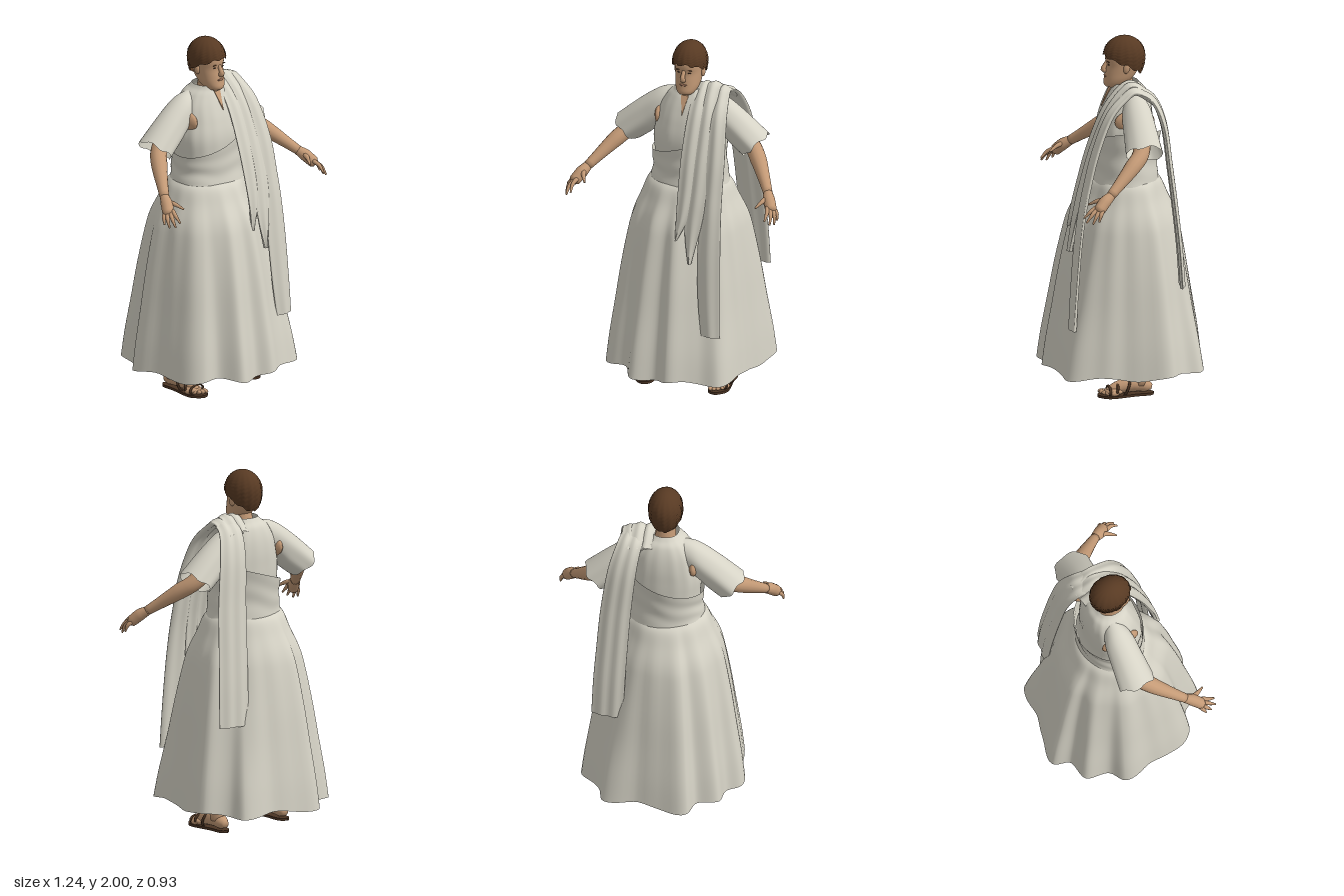
import * as THREE from 'three';
import { mergeVertices } from 'three/addons/utils/BufferGeometryUtils.js';

const mat = (name, color, side = THREE.FrontSide) => {
  const m = new THREE.MeshStandardMaterial({ color, side });
  m.name = name;
  return m;
};

// Surface from a rule f(u, v) -> [x, y, z]; u runs around, v runs along
function surface(nu, nv, f) {
  const pos = [], idx = [], w = nu + 1;
  for (let j = 0; j <= nv; j++) for (let i = 0; i <= nu; i++) pos.push(...f((i % nu) / nu, j / nv));
  for (let j = 0; j < nv; j++) for (let i = 0; i < nu; i++) {
    const a = j * w + i, b = a + 1, c = b + w, d = a + w;
    idx.push(a, b, c, a, c, d);
  }
  let g = new THREE.BufferGeometry();
  g.setAttribute('position', new THREE.Float32BufferAttribute(pos, 3));
  g.setIndex(idx);
  g = mergeVertices(g, 1e-5);
  g.computeVertexNormals();
  return g;
}

// Smooth interpolation through rows of numbers, t in 0..1
function sample(rows, t) {
  const n = rows.length - 1, k = Math.min(Math.floor(t * n), n - 1), f = t * n - k;
  const at = i => rows[Math.max(0, Math.min(n, i))];
  return rows[0].map((_, c) => {
    const [p, q, r, s] = [at(k - 1)[c], at(k)[c], at(k + 1)[c], at(k + 2)[c]];
    return q + 0.5 * f * (r - p + f * (2 * p - 5 * q + 4 * r - s + f * (3 * (q - r) + s - p)));
  });
}

// Round limb through [x, y, z, radius] points
function limb(pts, sides = 14, steps = 24) {
  const curve = new THREE.CatmullRomCurve3(pts.map(p => new THREE.Vector3(...p.slice(0, 3))));
  const fr = curve.computeFrenetFrames(steps, false), n = pts.length - 1;
  return surface(sides, steps + 2, (u, v) => {
    const j = Math.round(v * (steps + 2)) - 1, s = Math.max(0, Math.min(steps, j));
    const t = curve.getUtoTmapping(s / steps) * n, k = Math.min(Math.floor(t), n - 1);
    const r = j < 0 || j > steps ? 0 : THREE.MathUtils.lerp(pts[k][3], pts[k + 1][3], t - k);
    const a = u * Math.PI * 2;
    return curve.getPointAt(s / steps)
      .addScaledVector(fr.normals[s], r * Math.cos(a))
      .addScaledVector(fr.binormals[s], r * Math.sin(a)).toArray();
  });
}

// Upright body from rings [y, halfWidth, zFront, zBack]
function body(rings, nu, nv, power, adjust = p => p) {
  return surface(nu, nv, (u, v) => {
    const a = u * Math.PI * 2, [y, rx, zf, zb] = sample(rings, v);
    const pw = q => Math.sign(q) * Math.abs(q) ** power;
    return adjust([rx * pw(Math.sin(a)), y, (zf + zb) / 2 + (zf - zb) / 2 * pw(Math.cos(a))], a, v);
  });
}

// Softly pleated hanging band through [x, y, z, halfWidth] points
function band(pts, thick = 0.013, skew = 0, pleats = 1.5) {
  return surface(40, 60, (u, v) => {
    const p = sample(pts, v), lo = sample(pts, Math.max(0, v - 0.01)), hi = sample(pts, Math.min(1, v + 0.01));
    const ty = hi[1] - lo[1], tz = hi[2] - lo[2], l = Math.hypot(ty, tz) || 1, a = u * Math.PI * 2;
    const s = Math.sin(a), off = thick * Math.cos(a) + 0.004 * Math.cos(s * Math.PI * pleats);
    return [p[0] + p[3] * s, p[1] - off * tz / l, p[2] + off * ty / l + skew * p[3] * s];
  });
}

export function createModel() {
  const root = new THREE.Group();
  root.name = 'robedFigure';
  const cloth = mat('cloth', 0xd6d3c6, THREE.DoubleSide);
  const skin = mat('skin', 0xc49a76);
  const hair = mat('hair', 0x583a23, THREE.DoubleSide);
  const leather = mat('leather', 0x4b3423);
  const dark = mat('eyeDark', 0x4a3628);
  const lip = mat('lip', 0xab7c62);
  const add = (name, geo, m) => {
    const mesh = new THREE.Mesh(geo, m);
    mesh.name = name;
    root.add(mesh);
    return mesh;
  };
  const ball = (name, m, p, s) => {
    const b = add(name, new THREE.SphereGeometry(1, 16, 12), m);
    b.position.set(...p);
    b.scale.set(...s);
    return b;
  };

  // Skirt: the waist ellipse spreads into a scalloped hem, pressed in under the sash ends
  const hem = new THREE.CatmullRomCurve3([
    [.04, .455], [.2, .385], [.32, .37], [.38, .2], [.4, .05], [.44, -.19], [.33, -.29], [.3, -.39], [.1, -.41],
    [-.17, -.46], [-.22, -.37], [-.34, -.34], [-.36, -.21], [-.445, -.15], [-.42, .05], [-.41, .2], [-.35, .3],
    [-.25, .32], [-.18, .44], [-.05, .41],
  ].map(([x, z]) => new THREE.Vector3(x, 0, z)), true);
  const spread = [[.145, 1], [.3, .93], [.5, .81], [.7, .69], [.9, .54], [1, .43], [1.1, .24], [1.18, .09], [1.22, -.08]];
  add('skirt', surface(160, 48, (u, v) => {
    const h = hem.getPoint(u), a = Math.atan2(h.x, h.z), [y, w0] = sample(spread, v);
    const press = Math.exp(-(((a - .6) / .3) ** 2)) + Math.exp(-(((a - 2.45) / .3) ** 2));
    const w = w0 - .5 * press * w0 * (1 - w0), crisp = .5 + .5 * w0;
    const hx = THREE.MathUtils.lerp(.42 * Math.sin(a), h.x, crisp);
    const hz = THREE.MathUtils.lerp(.43 * Math.cos(a), h.z, crisp);
    const fold = 1 + 0.013 * Math.sin(a * 17) * Math.min(1, w * 2) * (1 - 0.5 * w);
    const wx = .218 * Math.sin(a), wz = .178 * Math.cos(a) - .015;
    return [(wx + (hx - wx) * w) * fold, y + 0.012 * Math.sin(a * 7) * (1 - v) ** 4,
      (wz + (hz - wz) * w) * fold];
  }), cloth);

  // Wrapped waist cloth with a slanting upper edge, standing off at the back
  add('waistWrap', surface(80, 20, (u, v) => {
    const a = u * Math.PI * 2, c = Math.cos(a), top = 1.43 + .07 * Math.sin(a) - .01 * c;
    const y = 1.16 + (top - 1.16) * v;
    const k = 1 + .12 * (1 - v) ** 3 + .03 * v * v - .02 * Math.sin(v * Math.PI)
      + .015 * Math.sin(v * 14 + 2 * a) * Math.sin(v * Math.PI);
    return [.208 * k * Math.sin(a), y + .012 * Math.sin(a * 5) * (1 - v),
      -.012 + .169 * k * c - (c < 0 ? .03 * v * c * c : 0)];
  }), cloth);

  // Tunic body
  add('tunicBody', body([[1.12, .222, .165, -.195], [1.3, .192, .14, -.165], [1.45, .2, .143, -.165],
    [1.55, .182, .125, -.165], [1.63, .162, .1, -.155], [1.69, .125, .078, -.135], [1.72, .09, .067, -.108],
    [1.74, .074, .062, -.092]], 72, 40, .88, ([x, y, z], a, v) => {
    const front = Math.atan2(Math.sin(a), Math.cos(a));
    const pleat = 1 + .01 * Math.sin(a * 15) * Math.sin(v * Math.PI);
    return [x * pleat, y - .045 * Math.exp(-((front / .4) ** 2)) * v ** 5, z * pleat];
  }), cloth);

  // Bare skin in the neck opening
  const opening = new THREE.Shape([[0, 0], [.022, .11], [-.022, .11]].map(p => new THREE.Vector2(...p)));
  const throat = add('neckOpening', new THREE.ExtrudeGeometry(opening, { depth: .006, bevelEnabled: false }), skin);
  throat.position.set(0, 1.605, .112);
  throat.rotation.x = -.45;

  // Neck, head and face
  add('neck', limb([[0, 1.5, -.03, .09], [0, 1.6, -.02, .08], [0, 1.68, -.012, .06], [0, 1.78, 0, .052]]), skin);
  add('head', body([[1.712, .004, .06, .05], [1.717, .036, .09, .01], [1.735, .054, .102, -.03],
    [1.765, .066, .098, -.06], [1.8, .071, .093, -.085], [1.84, .075, .086, -.1], [1.88, .077, .092, -.11],
    [1.92, .075, .085, -.11], [1.96, .06, .06, -.09], [1.985, .004, -.01, -.02]], 32, 32, .92), skin);
  add('nose', limb([[0, 1.862, .08, .01], [0, 1.835, .095, .012], [0, 1.815, .104, .015], [0, 1.804, .09, .014]], 12, 12), skin);
  ball('mouth', lip, [0, 1.778, .093], [.023, .006, .007]);
  for (const s of [-1, 1]) {
    ball('eye', dark, [s * .03, 1.847, .079], [.01, .004, .005]);
    ball('eyebrow', hair, [s * .032, 1.864, .082], [.018, .003, .005]).rotation.z = -s * .12;
    ball('ear', skin, [s * .078, 1.835, -.012], [.012, .032, .019]).rotation.x = -.2;
  }

  // Short curly hair, low on the nape and high on the brow
  add('hair', surface(64, 24, (u, v) => {
    const a = u * Math.PI * 2, c = Math.cos(a);
    const line = 1.848 + .05 * c + (c < 0 ? .016 * c : 0) + .006 * Math.sin(a * 9);
    const y = line + (2 - line) * Math.sin(v * Math.PI / 2);
    const d = (y - 1.885) / (y > 1.885 ? .115 : .16);
    const k = Math.sqrt(Math.max(0, 1 - d * d));
    const curl = 1 + .03 * Math.sin(a * 16 + (Math.round(v * 24) % 2) * 2) * Math.cos(v * Math.PI / 2);
    return [.095 * k * curl * Math.sin(a), y, -.013 + .117 * k * curl * c];
  }), hair);

  for (const s of [-1, 1]) {
    const side = s > 0 ? 'left' : 'right';
    const m = pts => pts.map(([x, ...r]) => [x * s, ...r]);

    // Flared sleeve: rows of top x, top y, bottom x, bottom y, half depth
    const rows = [[.08, 1.71, .13, 1.5, .06], [.175, 1.69, .185, 1.47, .083], [.29, 1.615, .235, 1.42, .093],
      [.44, 1.49, .31, 1.365, .104]];
    add(side + 'Sleeve', surface(48, 20, (u, v) => {
      const [tx, ty, bx, by, rz] = sample(rows, v), a = u * Math.PI * 2, k = .5 + .5 * Math.cos(a);
      const f = 1 + .04 * Math.sin(a * 6) * v, wave = .006 * Math.sin(a * 5) * v * v;
      return [s * (bx + (tx - bx) * k + wave), by + (ty - by) * k - wave, -.048 + s * rz * f * Math.sin(a)];
    }), cloth);
    ball(side + 'Armpit', skin, [s * .165, 1.555, -.037], [.032, .066, .112]);

    // Arm and hand
    add(side + 'Arm', limb(m([[.16, 1.61, -.045, .06], [.26, 1.52, -.05, .055], [.36, 1.425, -.03, .046],
      [.42, 1.37, .03, .045], [.49, 1.295, .12, .032], [.53, 1.25, .175, .026]])), skin);
    add(side + 'Palm', limb(m([[.525, 1.255, .165, .024], [.55, 1.225, .21, .034], [.578, 1.185, .25, .032],
      [.583, 1.178, .26, .02]]), 12, 12), skin);
    [[.56, 1.2, .262, .57, 1.145, .332], [.575, 1.19, .262, .598, 1.125, .325], [.588, 1.185, .25, .612, 1.118, .292],
      [.592, 1.185, .235, .617, 1.13, .258], [.54, 1.235, .2, .502, 1.2, .295]].forEach((f, i) => {
      const [x, y, z, X, Y, Z] = f, r = i === 4 ? .013 : .011;
      add(side + (i === 4 ? 'Thumb' : 'Finger'), limb(m([[x, y, z, r + .002],
        [(x + X) / 2 + .006, (y + Y) / 2 + .008, (z + Z) / 2, r], [X, Y, Z, .005]]), 8, 8), skin);
    });

    // Leg, foot and toes
    add(side + 'Leg', limb(m([[.13, .8, -.02, .08], [.17, .5, -.03, .06], [.195, .32, -.06, .058],
      [.213, .15, -.055, .042], [.215, .06, -.05, .043]])), skin);
    add(side + 'Foot', limb(m([[.213, .042, -.12, .018], [.213, .05, -.09, .036], [.214, .064, -.03, .045],
      [.216, .058, .03, .041], [.22, .044, .09, .032], [.222, .032, .13, .018]])), skin);
    ball(side + 'ForeFoot', skin, [s * .22, .032, .09], [.048, .024, .055]);
    for (let i = 0; i < 5; i++)
      ball(side + 'Toe', skin, [s * (.186 + i * .019), .026, .15 - i * i * .0035], [.014 - i * .001, .013, .025]);

    // Sandal sole and straps
    const outline = new THREE.Shape(new THREE.SplineCurve([[.215, .135], [.245, .11], [.25, .03], [.27, -.08],
      [.265, -.135], [.22, -.18], [.172, -.16], [.163, -.1], [.175, 0], [.178, .1], [.215, .135]]
      .map(([x, y]) => new THREE.Vector2(x * s, y))).getPoints(50).slice(0, -1));
    const sole = new THREE.ExtrudeGeometry(outline, { depth: .014, bevelEnabled: false });
    add(side + 'Sole', sole.rotateX(-Math.PI / 2), leather);
    const strap = (y, z, sx, sy, tilt) => {
      const t = add(side + 'Strap', new THREE.TorusGeometry(1, .13, 8, 28), leather);
      t.position.set(s * .217, y, z);
      t.scale.set(sx, sy, .06);
      t.rotation.x = tilt;
    };
    strap(.115, -.052, .046, .047, Math.PI / 2 - .1);
    strap(.05, .02, .046, .05, -.35);
    strap(.04, .08, .05, .037, -.2);
    strap(.034, .118, .05, .026, 0);
  }

  // Sash folds hanging from the left shoulder in front
  add('sashInner', band([[.037, .94, .3, .006], [.066, 1.06, .285, .034], [.08, 1.2, .255, .05], [.083, 1.4, .2, .054],
    [.085, 1.6, .12, .05], [.085, 1.72, .03, .042], [.09, 1.75, -.04, .04], [.1, 1.68, -.13, .04]]), cloth);
  add('sashMiddle', band([[.125, .82, .32, .01], [.128, .95, .302, .036], [.135, 1.07, .282, .052],
    [.145, 1.2, .255, .055], [.15, 1.4, .2, .055], [.15, 1.6, .12, .05], [.14, 1.72, .03, .045],
    [.14, 1.755, -.04, .045], [.15, 1.68, -.14, .045]]), cloth);
  add('sashOuter', band([[.253, .41, .332, .056], [.24, .6, .32, .065], [.23, .85, .3, .068], [.23, 1.05, .276, .062],
    [.23, 1.2, .248, .058], [.23, 1.4, .2, .055], [.215, 1.6, .12, .05], [.2, 1.7, .03, .045],
    [.19, 1.735, -.04, .045], [.19, 1.67, -.14, .05]], .017), cloth);

  // Sash end hanging down the back
  add('sashBack', band([[.288, .64, -.278, .09], [.28, .85, -.265, .09], [.268, 1.05, -.246, .088], [.25, 1.3, -.218, .086],
    [.22, 1.55, -.188, .08], [.188, 1.69, -.13, .07], [.165, 1.735, -.04, .065]], .015, .18, 2.5), cloth);
  return root;
}
